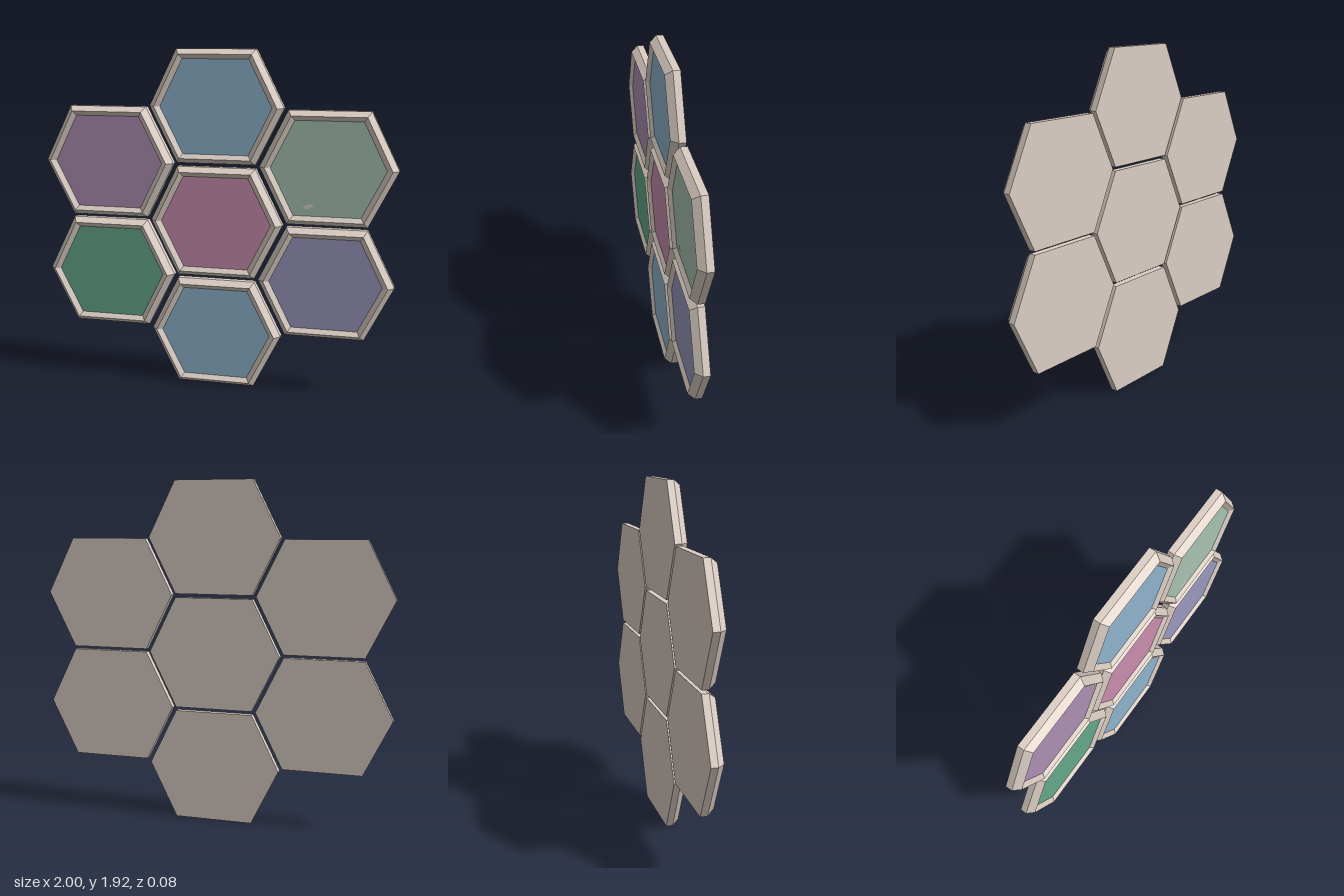
import * as THREE from 'three';

const material = (name, color) => {
  const m = new THREE.MeshStandardMaterial({ color });
  m.name = name;
  return m;
};

// Corners of one tile, counter-clockwise from +x
const corners = [[0.378, 0], [0.222, 0.313], [-0.222, 0.313], [-0.378, 0], [-0.222, -0.313], [0.222, -0.313]];

// Tray section from back centre to recessed floor: [scale, z]
const profile = [[0, -0.038], [1, -0.038], [1, 0], [0.91, 0.038], [0.83, 0.016], [0, 0.016]];

function trayGeometry() {
  const pos = [];
  const point = (j, i) => {
    const [s, z] = profile[j];
    const [x, y] = corners[i % 6];
    return [x * s, y * s, z];
  };
  for (let j = 0; j < profile.length - 1; j++) {
    for (let i = 0; i < 6; i++) {
      const a = point(j, i), b = point(j, i + 1), c = point(j + 1, i + 1), d = point(j + 1, i);
      if (profile[j][0] > 0) pos.push(...a, ...b, ...c);
      if (profile[j + 1][0] > 0) pos.push(...a, ...c, ...d);
      else if (profile[j][0] === 0) continue;
    }
  }
  const geo = new THREE.BufferGeometry();
  geo.setAttribute('position', new THREE.Float32BufferAttribute(pos, 3));
  geo.computeVertexNormals();
  return geo;
}

export function createModel() {
  const model = new THREE.Group();
  model.name = 'hexagonTiles';

  const frame = material('warm stone', 0xdccfc5);
  const blue = material('soft blue', 0x90b4ce);
  const tiles = [
    ['bottom', 0, 0.313, blue],
    ['centre', 0, 0.96, material('rose', 0xcb8fb0)],
    ['top', 0, 1.607, blue],
    ['lowerRight', -0.622, 0.643, material('green', 0x65a98b)],
    ['upperRight', -0.622, 1.287, material('mauve', 0xae90b4)],
    ['lowerLeft', 0.622, 0.643, material('periwinkle', 0x9a99c0)],
    ['upperLeft', 0.622, 1.287, material('pale sage', 0xa8c3b2)],
  ];

  const tray = trayGeometry();
  const panel = new THREE.ShapeGeometry(
    new THREE.Shape(corners.map(([x, y]) => new THREE.Vector2(x * 0.83, y * 0.83))));

  for (const [name, x, y, colour] of tiles) {
    const tile = new THREE.Group();
    tile.name = name + 'Tile';
    tile.position.set(x, y, 0);
    const rim = new THREE.Mesh(tray, frame);
    rim.name = 'tray';
    const inlay = new THREE.Mesh(panel, colour);
    inlay.name = 'inlay';
    inlay.position.z = 0.018;
    tile.add(rim, inlay);
    model.add(tile);
  }

  // Small bare patch in the pale inlay
  const patch = new THREE.Mesh(new THREE.CircleGeometry(0.03, 8), frame);
  patch.name = 'barePatch';
  patch.scale.y = 0.4;
  patch.rotation.z = 0.25;
  patch.position.set(0.52, 1.08, 0.0195);
  model.add(patch);

  return model;
}
